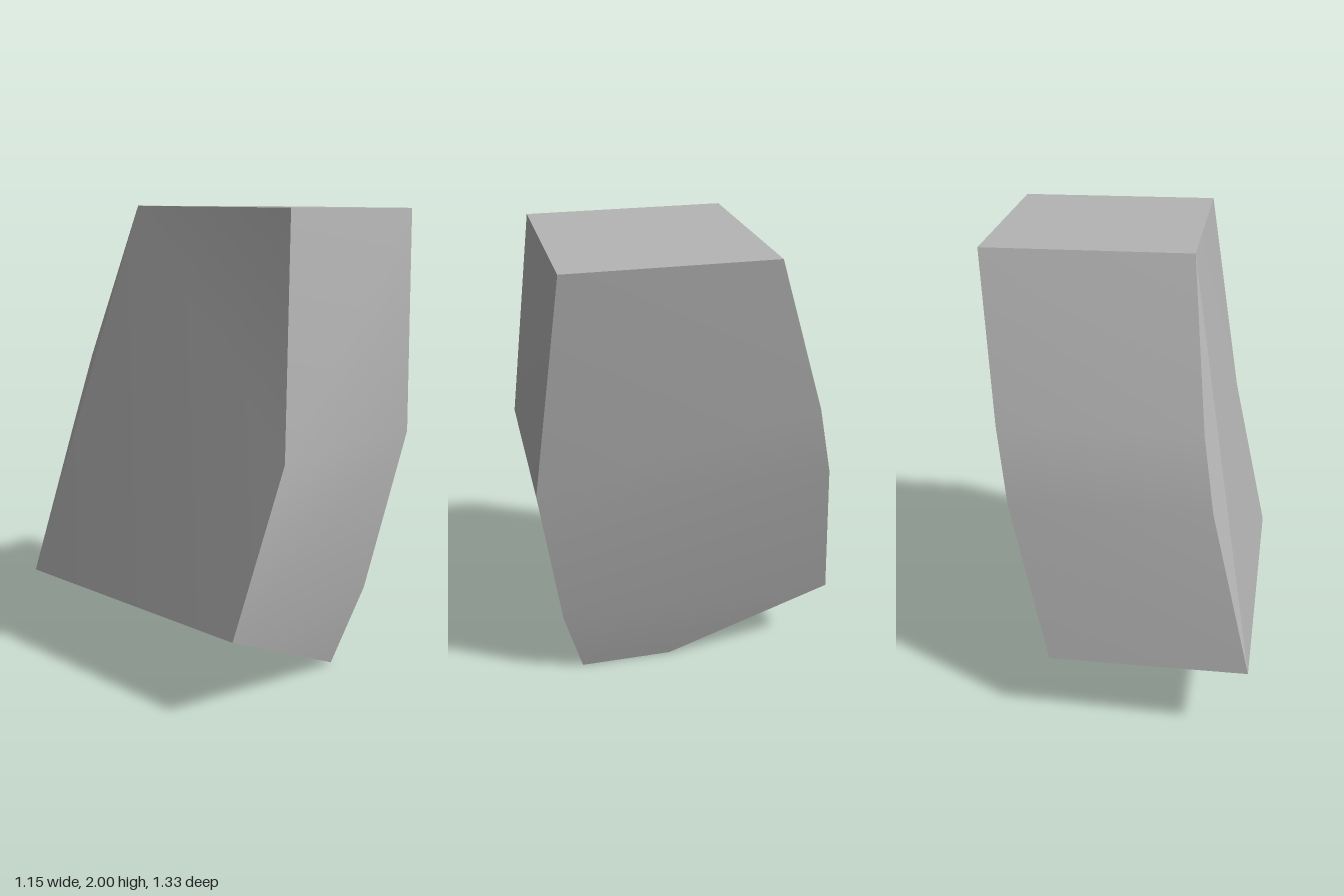
import * as THREE from 'three';

// Corner points of the leaning, tapered stone block
// (f/b = front/back, L = -x edge, R = +x edge)
const P = {
  fTopL: [-0.27, 2.0, 0.568], fTopR: [0.575, 1.99, 0.557],
  fMidL: [-0.41, 1.06, 0.667], fMidR: [0.43, 1.05, 0.667],
  fLowL: [-0.58, 0.367, 0.557], fLowR: [0.28, 0.35, 0.57],
  fBaseR: [0.17, 0, 0.48], baseR: [0.17, 0, 0.07],
  bTopL: [-0.27, 2.0, -0.255], bTopR: [0.575, 1.99, -0.265],
  bHighL: [-0.345, 1.35, -0.49], bHighR: [0.485, 1.33, -0.485],
  bMidL: [-0.395, 1.05, -0.565], bMidR: [0.435, 1.02, -0.56],
  bLowL: [-0.57, 0.36, -0.667], bLowR: [0.27, 0.33, -0.65],
};

// Each side is a triangle strip, zigzagging between its two edges
const SIDES = {
  topFace: 'fTopL fTopR bTopL bTopR',
  frontFace: 'fTopL fTopR fMidL fMidR fLowL fLowR fBaseR',
  backFace: 'bTopL bTopR bHighL bHighR bMidL bMidR bLowL bLowR',
  leftFace: 'bTopR fTopR bHighR fMidR bMidR fLowR bLowR fBaseR baseR',
  rightFace: 'fTopL fMidL bTopL fLowL bLowL',
  rightBackChamfer: 'bHighL bTopL bMidL bLowL',
  baseFace: 'fBaseR baseR fLowL bLowL',
  undercut: 'bLowR baseR bLowL',
};

// Smooth within one side, sharp between sides
function sideGeometry(names) {
  const pts = names.map((n) => new THREE.Vector3(...P[n]));
  const centre = new THREE.Vector3(0, 1, 0);
  const index = [];
  for (let i = 0; i + 2 < pts.length; i++) {
    const [a, b, c] = [pts[i], pts[i + 1], pts[i + 2]];
    const normal = b.clone().sub(a).cross(c.clone().sub(a));
    const outward = normal.dot(a.clone().sub(centre)) > 0;
    index.push(i, ...(outward ? [i + 1, i + 2] : [i + 2, i + 1]));
  }
  const geometry = new THREE.BufferGeometry().setFromPoints(pts);
  geometry.setIndex(index);
  geometry.computeVertexNormals();
  return geometry;
}

export function createModel() {
  const stone = new THREE.MeshStandardMaterial({ color: 0xb4b4b4 });
  stone.name = 'stone grey';
  const block = new THREE.Group();
  block.name = 'stoneBlock';
  for (const [name, strip] of Object.entries(SIDES)) {
    const mesh = new THREE.Mesh(sideGeometry(strip.split(' ')), stone);
    mesh.name = name;
    block.add(mesh);
  }
  return block;
}
